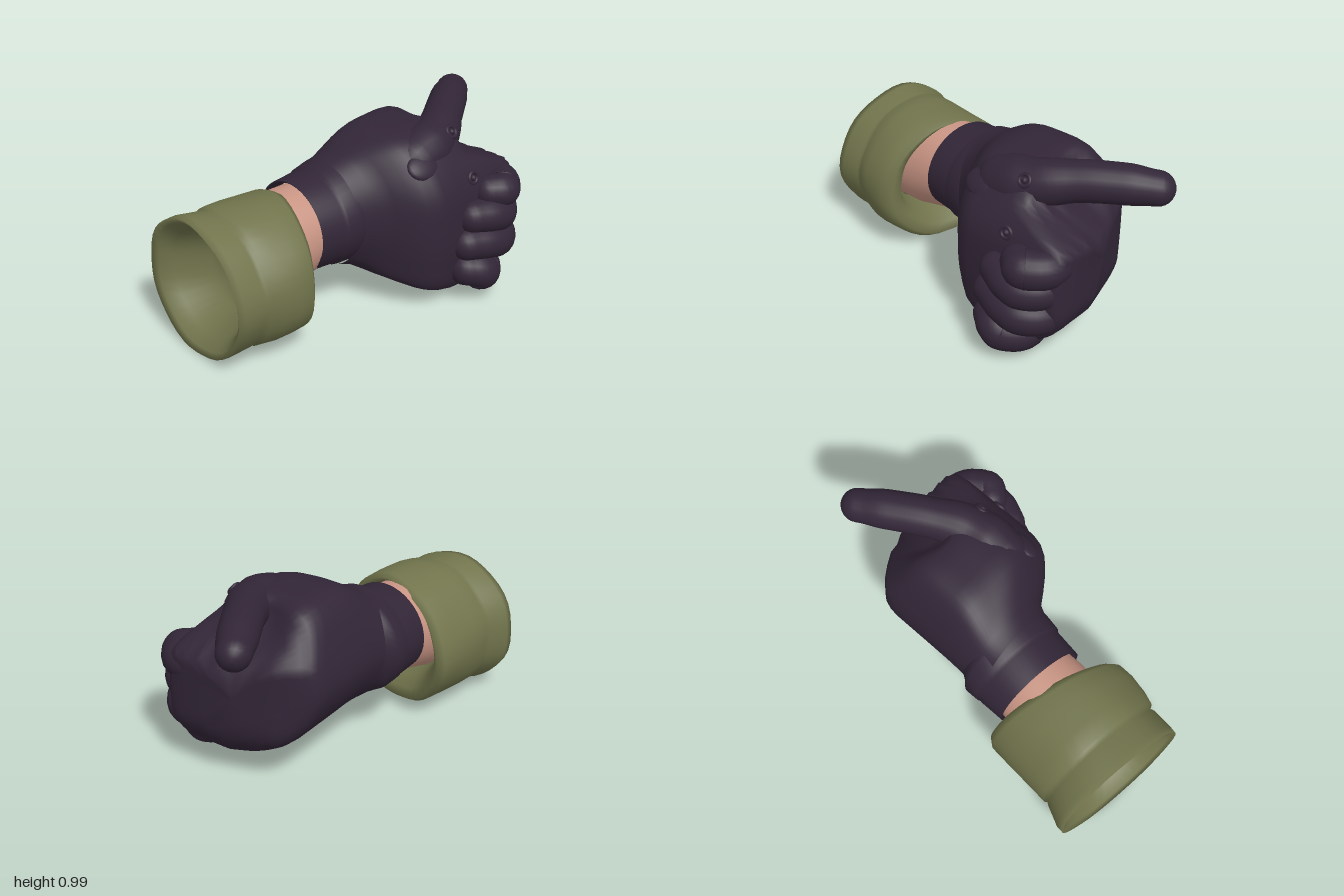
import * as THREE from 'three';

const glove = new THREE.MeshStandardMaterial({ color: 0x322637 });
glove.name = 'dark glove leather';
const olive = new THREE.MeshStandardMaterial({ color: 0x71744c, side: THREE.DoubleSide });
olive.name = 'olive cloth';
const skin = new THREE.MeshStandardMaterial({ color: 0xc99584 });
skin.name = 'skin';

const { lerp, smoothstep } = THREE.MathUtils;

// Smooth skin over a list of rings with equal point counts
function loft(rings) {
  const n = rings[0].length, pos = [], idx = [];
  rings.forEach(r => r.forEach(p => pos.push(p.x, p.y, p.z)));
  for (let i = 0; i < rings.length - 1; i++) {
    for (let j = 0; j < n; j++) {
      const a = i * n + j, b = i * n + (j + 1) % n;
      idx.push(a, a + n, b, b, a + n, b + n);
    }
  }
  const g = new THREE.BufferGeometry();
  g.setAttribute('position', new THREE.Float32BufferAttribute(pos, 3));
  g.setIndex(idx);
  g.computeVertexNormals();
  return g;
}

// Ellipse across x; shear leans it, wobble adds cloth folds
function ring([x, cy, cz, ry, rz, shear = 0], wobble = 0, n = 40) {
  return Array.from({ length: n }, (_, j) => {
    const a = (j / n) * Math.PI * 2;
    const k = 1 + wobble * (Math.sin(3 * a + x * 5) + 0.7 * Math.sin(7 * a - x * 9));
    const dz = rz * k * Math.cos(a);
    return new THREE.Vector3(x + shear * dz, cy + ry * k * Math.sin(a), cz + dz);
  });
}

// Round-ended limb along a curve with changing radius
function limb(points, radii, n = 20) {
  const curve = new THREE.CatmullRomCurve3(points.map(p => new THREE.Vector3(...p)));
  const up = new THREE.Vector3(0, 1, 0), rings = [], steps = 28, cap = 6;
  const add = (t, r, shift) => {
    const T = curve.getTangent(t), N = T.clone().cross(up).normalize(), B = N.clone().cross(T);
    const c = curve.getPoint(t).addScaledVector(T, shift);
    rings.push(Array.from({ length: n }, (_, j) => {
      const a = (j / n) * Math.PI * 2;
      return c.clone().addScaledVector(N, r * Math.cos(a)).addScaledVector(B, r * Math.sin(a));
    }));
  };
  const last = radii.length - 1;
  for (let i = 0; i < cap; i++) {
    const a = (i / cap) * Math.PI / 2;
    add(0, radii[0] * Math.sin(a), -radii[0] * Math.cos(a));
  }
  for (let i = 0; i <= steps; i++) {
    const f = (i / steps) * last, k = Math.min(Math.floor(f), last - 1);
    add(i / steps, lerp(radii[k], radii[k + 1], smoothstep(f - k, 0, 1)), 0);
  }
  for (let i = 1; i <= cap; i++) {
    const a = (i / cap) * Math.PI / 2;
    add(1, radii[last] * Math.cos(a), radii[last] * Math.sin(a));
  }
  return loft(rings);
}

// Palm and back of the hand: round wrist blending into a fist outline
function handGeometry() {
  const outline = new THREE.CatmullRomCurve3([
    [0.45, 0.5], [0.43, 0.66], [0.35, 0.8], [0.22, 0.92], [0, 0.945], [-0.19, 0.92], [-0.3, 0.74],
    [-0.34, 0.52], [-0.22, 0.29], [0, 0.145], [0.2, 0.075], [0.39, 0.06], [0.44, 0.25],
  ].map(([z, y]) => new THREE.Vector3(0, y, z)), true).getSpacedPoints(80).slice(0, 80);
  const cy = 0.5, cz = 0.05;
  // Slanted knuckle face: rounded at the back and bottom, stepped in under the thumb
  const face = (y, z) => {
    const over = Math.max(0, y - 0.68);
    const top = lerp(0.8 * over, Math.min(0.28, 2.4 * over), smoothstep(z, -0.2, 0.05));
    return 0.725 + 0.3 * Math.min(z, 0.15) - 0.3 * Math.max(0, -0.15 - z)
      - 2.7 * Math.max(0, 0.35 - y) ** 2 - top;
  };
  // Position along x, blend to the fist, blend at the underside
  const rings = [
    [-0.14, 0, 0], [-0.06, 0.13, 0.12], [0, 0.43, 0.35], [0.05, 0.66, 0.47], [0.1, 0.84, 0.58],
    [0.15, 0.94, 0.68], [0.2, 0.98, 0.77], [0.3, 1, 0.9],
  ].map(([x, w, low]) => outline.map(p => {
    const a = Math.atan2(p.y - cy, p.z - cz);
    return new THREE.Vector3(x,
      lerp(0.525 + 0.29 * Math.sin(a), p.y, lerp(w, low, Math.max(0, -Math.sin(a)))),
      lerp(-0.1 + 0.25 * Math.cos(a), p.z, w));
  }));
  for (const [s, back] of [[1, 0.1], [0.985, 0.05], [0.95, 0.02], [0.87, 0.004], [0.75, 0], [0.6, 0], [0.4, 0], [0, 0]]) {
    rings.push(outline.map(p => {
      const y = cy + (p.y - cy) * s, z = cz + (p.z - cz) * s;
      return new THREE.Vector3(face(y, z) - back, y, z);
    }));
  }
  return loft(rings);
}

export function createModel() {
  const group = new THREE.Group();
  const add = (name, geometry, material) => {
    const m = new THREE.Mesh(geometry, material);
    m.name = name;
    group.add(m);
    return m;
  };

  // Rolled sleeve: inside, rim, fold, crease, body, front hem, inside again
  add('sleeve', loft([
    [-0.68, 0.38, -0.17, 0, 0, 0],
    [-0.7, 0.38, -0.17, 0.22, 0.22, -0.14],
    [-0.87, 0.37, -0.2, 0.285, 0.295, -0.14],
    [-0.93, 0.37, -0.21, 0.335, 0.345, -0.14],
    [-0.948, 0.37, -0.215, 0.362, 0.38, -0.14],
    [-0.91, 0.37, -0.21, 0.366, 0.382, -0.14],
    [-0.8, 0.375, -0.18, 0.35, 0.362, -0.13],
    [-0.775, 0.378, -0.175, 0.342, 0.35, -0.13],
    [-0.765, 0.38, -0.17, 0.362, 0.368, -0.13],
    [-0.68, 0.382, -0.15, 0.365, 0.378, -0.16],
    [-0.56, 0.385, -0.13, 0.36, 0.38, -0.25],
    [-0.46, 0.385, -0.12, 0.355, 0.375, -0.31],
    [-0.425, 0.39, -0.12, 0.335, 0.345, -0.34],
    [-0.44, 0.405, -0.125, 0.3, 0.3, -0.3],
    [-0.5, 0.425, -0.13, 0.27, 0.27, -0.25],
    [-0.62, 0.44, -0.14, 0.24, 0.23, -0.14],
  ].map(s => ring(s, 0.014))), olive);

  // Bare forearm
  add('forearm', loft([
    [-0.68, 0.44, -0.15, 0.25, 0.23],
    [-0.55, 0.455, -0.15, 0.262, 0.24],
    [-0.42, 0.48, -0.14, 0.248, 0.238],
    [-0.25, 0.5, -0.13, 0.225, 0.225],
  ].map(s => ring(s))), skin);

  // Glove cuff with a raised wrist strap
  add('gloveCuff', loft([
    [-0.28, 0.51, -0.135, 0.215, 0.22, -0.13],
    [-0.335, 0.512, -0.135, 0.232, 0.245, -0.13],
    [-0.34, 0.512, -0.135, 0.24, 0.254, -0.13],
    [-0.2, 0.512, -0.125, 0.252, 0.264, -0.13],
    [-0.18, 0.514, -0.12, 0.254, 0.264, -0.13],
    [-0.175, 0.515, -0.12, 0.264, 0.273, -0.13],
    [-0.1, 0.522, -0.115, 0.276, 0.28, -0.13],
    [-0.06, 0.526, -0.1, 0.285, 0.265, -0.1],
    [-0.02, 0.53, -0.1, 0.26, 0.24, -0.1],
  ].map(s => ring(s))), glove);

  add('hand', handGeometry(), glove);

  // Thumb pointing out over the fist
  add('thumb', limb([
    [0.22, 0.79, 0.19], [0.32, 0.82, 0.19], [0.44, 0.855, 0.16],
    [0.6, 0.885, 0.07], [0.78, 0.89, -0.04], [0.91, 0.882, -0.12],
  ], [0.14, 0.14, 0.12, 0.105, 0.102, 0.088]), glove);

  // Curled fingers: name, height, buried rise, joint x, tip x, tip rise, radius
  for (const [name, y, rise, jx, tx, lift, r] of [
    ['indexFinger', 0.585, 0, 0.675, 0.53, 0.005, 0.097],
    ['middleFinger', 0.455, 0, 0.65, 0.4, 0.035, 0.098],
    ['ringFinger', 0.305, 0.03, 0.645, 0.36, 0.04, 0.1],
    ['littleFinger', 0.15, 0.12, 0.53, 0.36, 0.045, 0.1],
  ]) {
    add(name, limb([
      [jx - 0.12, y + rise, 0.1], [jx - 0.015, y + rise * 0.3, 0.26], [jx, y, 0.41],
      [jx - 0.08, y + lift * 0.2, 0.48], [(jx + tx) / 2 - 0.02, y + lift * 0.6, 0.488], [tx, y + lift, 0.45],
    ], [r * 0.7, r * 0.88, r, r * 1.04, r * 0.96, r * 0.9]), glove);
  }

  // Padded oval on the thumb base
  const place = (m, p, dir) => {
    m.position.set(...p);
    m.quaternion.setFromUnitVectors(new THREE.Vector3(0, 0, 1), new THREE.Vector3(...dir).normalize());
  };
  const pad = add('thumbPad', new THREE.SphereGeometry(0.1, 24, 12), glove);
  place(pad, [0.17, 0.81, 0.3], [-0.1, 0.7, 0.7]);
  pad.scale.set(1, 0.75, 0.3);

  // Two ringed studs
  for (const [p, dir] of [[[0.42, 0.91, 0.275], [0, 0.55, 0.85]], [[0.43, 0.69, 0.418], [0, 0.25, 1]]]) {
    const stud = new THREE.Group();
    stud.name = 'stud';
    const rim = new THREE.Mesh(new THREE.TorusGeometry(0.03, 0.01, 8, 20), glove);
    rim.name = 'studRim';
    const knob = new THREE.Mesh(new THREE.SphereGeometry(0.017, 12, 8), glove);
    knob.name = 'studKnob';
    stud.add(rim, knob);
    place(stud, p, dir);
    group.add(stud);
  }
  return group;
}
